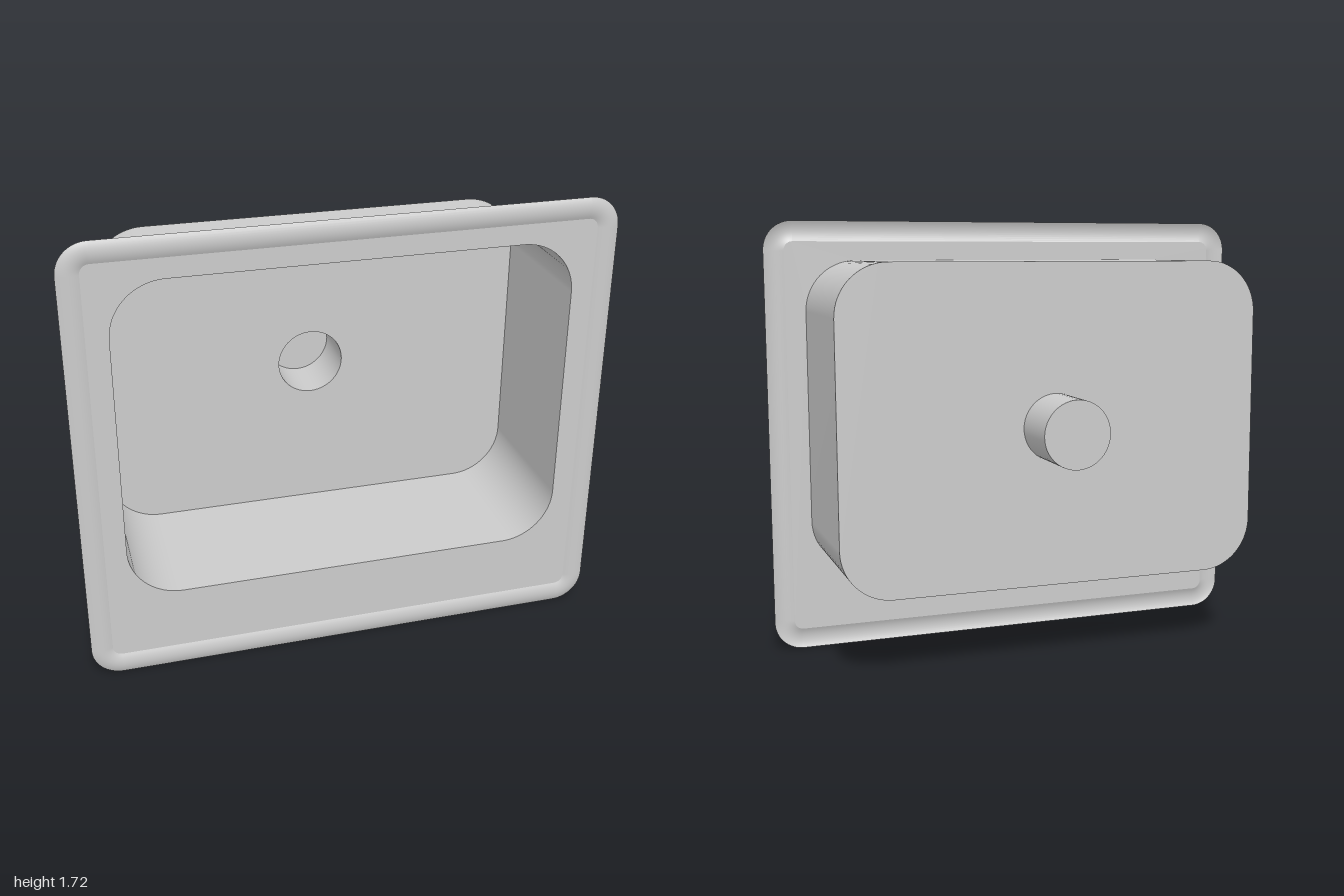
import * as THREE from 'three';

const RIM_Z = 0.386, FLOOR_Z = -0.175, END_Z = -0.396;
const HEIGHT = 1.72, DRAIN_Y = 0.94, DRAIN_R = 0.13;
const material = new THREE.MeshStandardMaterial({ color: 0xcccccc, side: THREE.DoubleSide });

// Counter-clockwise rounded rectangle as a list of points
function roundedLoop(halfWidth, bottom, top, radius, steps = 16) {
  const points = [];
  const x = halfWidth - radius;
  const corners = [[x, top - radius], [-x, top - radius], [-x, bottom + radius], [x, bottom + radius]];
  corners.forEach(([cx, cy], c) => {
    for (let i = 0; i <= steps; i++) {
      const a = (c + i / steps) * Math.PI / 2;
      points.push(new THREE.Vector2(cx + radius * Math.cos(a), cy + radius * Math.sin(a)));
    }
  });
  return points;
}

// Smooth skin through closed loops, each { points, z }, ordered from outside to inside
function skin(loops) {
  const n = loops[0].points.length, position = [], index = [];
  loops.forEach(({ points, z }) => points.forEach((p) => position.push(p.x, p.y, z)));
  for (let k = 0; k < loops.length - 1; k++) {
    for (let i = 0; i < n; i++) {
      const a = k * n + i, b = k * n + (i + 1) % n;
      index.push(a, b, b + n, a, b + n, a + n);
    }
  }
  const geometry = new THREE.BufferGeometry();
  geometry.setAttribute('position', new THREE.Float32BufferAttribute(position, 3));
  geometry.setIndex(index);
  geometry.computeVertexNormals();
  return geometry;
}

// Flat sheet with one hole
function sheet(outline, hole, z) {
  const shape = new THREE.Shape(outline);
  shape.holes.push(new THREE.Path(hole));
  return new THREE.ShapeGeometry(shape).translate(0, 0, z);
}

export function createModel() {
  const group = new THREE.Group();
  const add = (name, geometry) => {
    const mesh = new THREE.Mesh(geometry, material);
    mesh.name = name;
    group.add(mesh);
  };

  // Shallow raised bead around the outer edge
  const bead = [];
  const beadSteps = 10;
  for (let i = 0; i <= beadSteps; i++) {
    const t = i / beadSteps, inset = 0.08 * t;
    bead.push({
      points: roundedLoop(1 - inset, inset, HEIGHT - inset, 0.115 - inset),
      z: RIM_Z + 0.01 * 4 * t * (1 - t),
    });
  }
  add('rimBead', skin(bead));

  // Flat flange around the bowl opening
  const opening = roundedLoop(0.84, 0.325, 1.565, 0.2);
  add('flange', sheet(bead[beadSteps].points, opening, RIM_Z));

  // Bowl walls and floor
  add('bowlWalls', skin([{ points: opening, z: RIM_Z }, { points: opening, z: FLOOR_Z }]));
  const circle = [];
  for (let i = 0; i < 48; i++) {
    const a = i / 48 * Math.PI * 2;
    circle.push(new THREE.Vector2(DRAIN_R * Math.cos(a), DRAIN_Y + DRAIN_R * Math.sin(a)));
  }
  add('bowlFloor', sheet(opening, circle, FLOOR_Z));

  // Drain pipe with a closed end
  add('drainPipe', skin([{ points: circle, z: FLOOR_Z }, { points: circle, z: END_Z }]));
  add('drainEnd', new THREE.CircleGeometry(DRAIN_R, 48).translate(0, DRAIN_Y, END_Z));

  return group;
}
